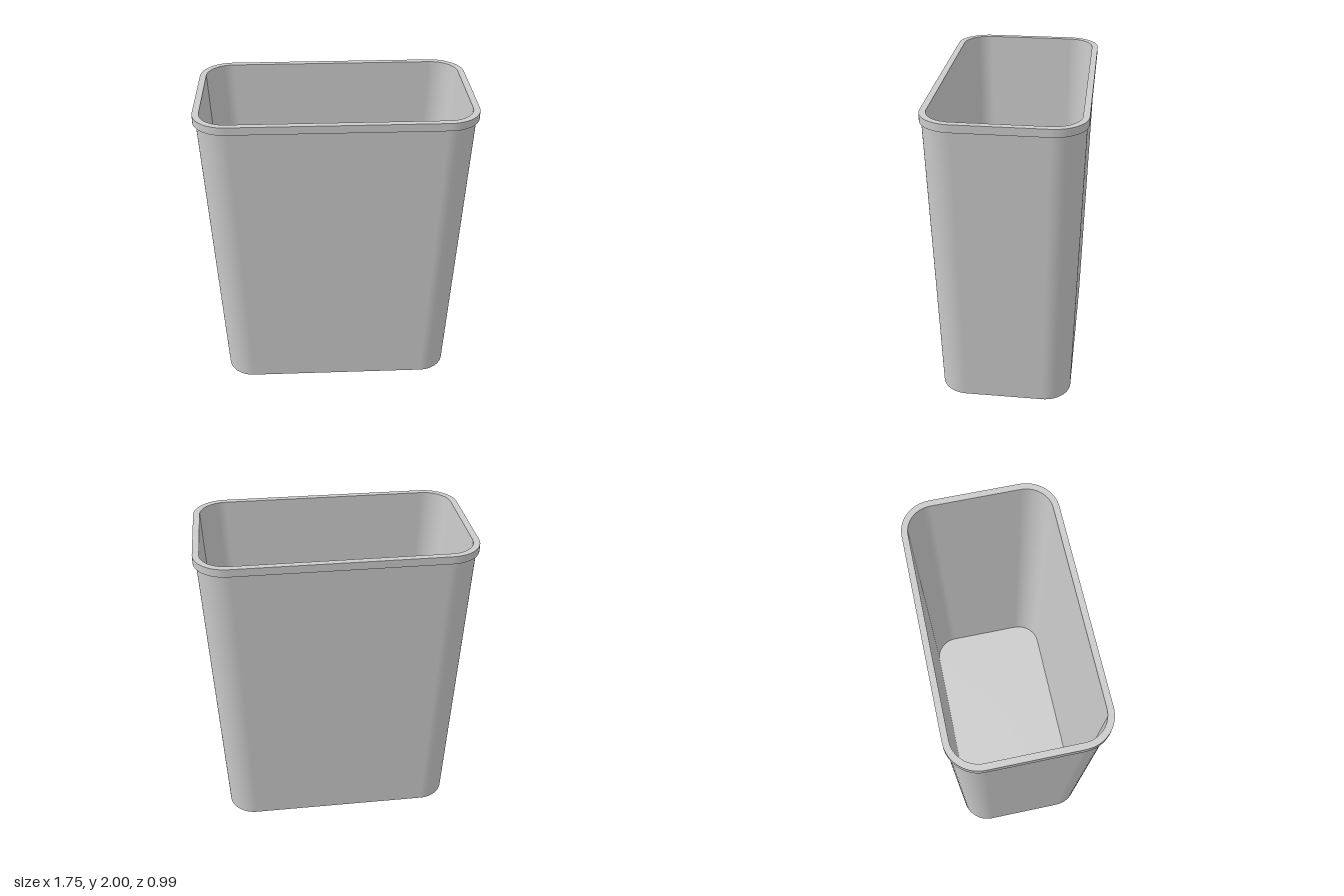
import * as THREE from 'three';

const CORNER_STEPS = 16;

// Rounded-rectangle ring: half width w, half depth d, corner radius r, height y
function ring([w, d, r, y]) {
  const pts = [];
  const signs = [[1, 1], [-1, 1], [-1, -1], [1, -1]];
  signs.forEach(([sx, sz], corner) => {
    for (let i = 0; i <= CORNER_STEPS; i++) {
      const a = (corner + i / CORNER_STEPS) * Math.PI / 2;
      const p = new THREE.Vector3(sx * (w - r) + r * Math.cos(a), y, sz * (d - r) + r * Math.sin(a));
      pts.push({ p, tangent: new THREE.Vector3(-Math.sin(a), 0, Math.cos(a)) });
    }
  });
  return pts;
}

// Joins successive rings with bands: smooth around, crisp between bands
function loft(name, sections, material) {
  const position = [], normal = [], index = [];
  for (let s = 0; s < sections.length - 1; s++) {
    const lower = ring(sections[s]), upper = ring(sections[s + 1]);
    const base = position.length / 3, n = lower.length;
    for (let i = 0; i < n; i++) {
      const a = lower[i].p, b = upper[i].p;
      const nrm = b.clone().sub(a).cross(lower[i].tangent).normalize();
      position.push(a.x, a.y, a.z, b.x, b.y, b.z);
      normal.push(nrm.x, nrm.y, nrm.z, nrm.x, nrm.y, nrm.z);
      const j = base + 2 * i, k = base + 2 * ((i + 1) % n);
      index.push(j, j + 1, k, k, j + 1, k + 1);
    }
  }
  const geometry = new THREE.BufferGeometry();
  geometry.setAttribute('position', new THREE.Float32BufferAttribute(position, 3));
  geometry.setAttribute('normal', new THREE.Float32BufferAttribute(normal, 3));
  geometry.setIndex(index);
  const mesh = new THREE.Mesh(geometry, material);
  mesh.name = name;
  return mesh;
}

export function createModel() {
  const group = new THREE.Group();
  group.name = 'wasteBin';
  const material = new THREE.MeshStandardMaterial({ color: 0xcccccc });

  const floorY = 0.03, rimY = 1.95, topY = 2;
  const foot = [0.777, 0.438, 0.18, 0];
  const neck = [0.858, 0.485, 0.2, rimY];
  const mouth = [0.836, 0.456, 0.17, topY];
  const floorEdge = [0.755, 0.415, 0.16, floorY];

  // Underside and tapered outer wall
  group.add(loft('outerShell', [[0, 0, 0, 0], foot, neck], material));
  // Overhanging lip
  group.add(loft('rim', [neck, [0.877, 0.496, 0.21, rimY], [0.877, 0.496, 0.21, topY], mouth], material));
  // Tapered inner wall and floor
  group.add(loft('innerShell', [mouth, floorEdge, [0, 0, 0, floorY]], material));

  return group;
}
